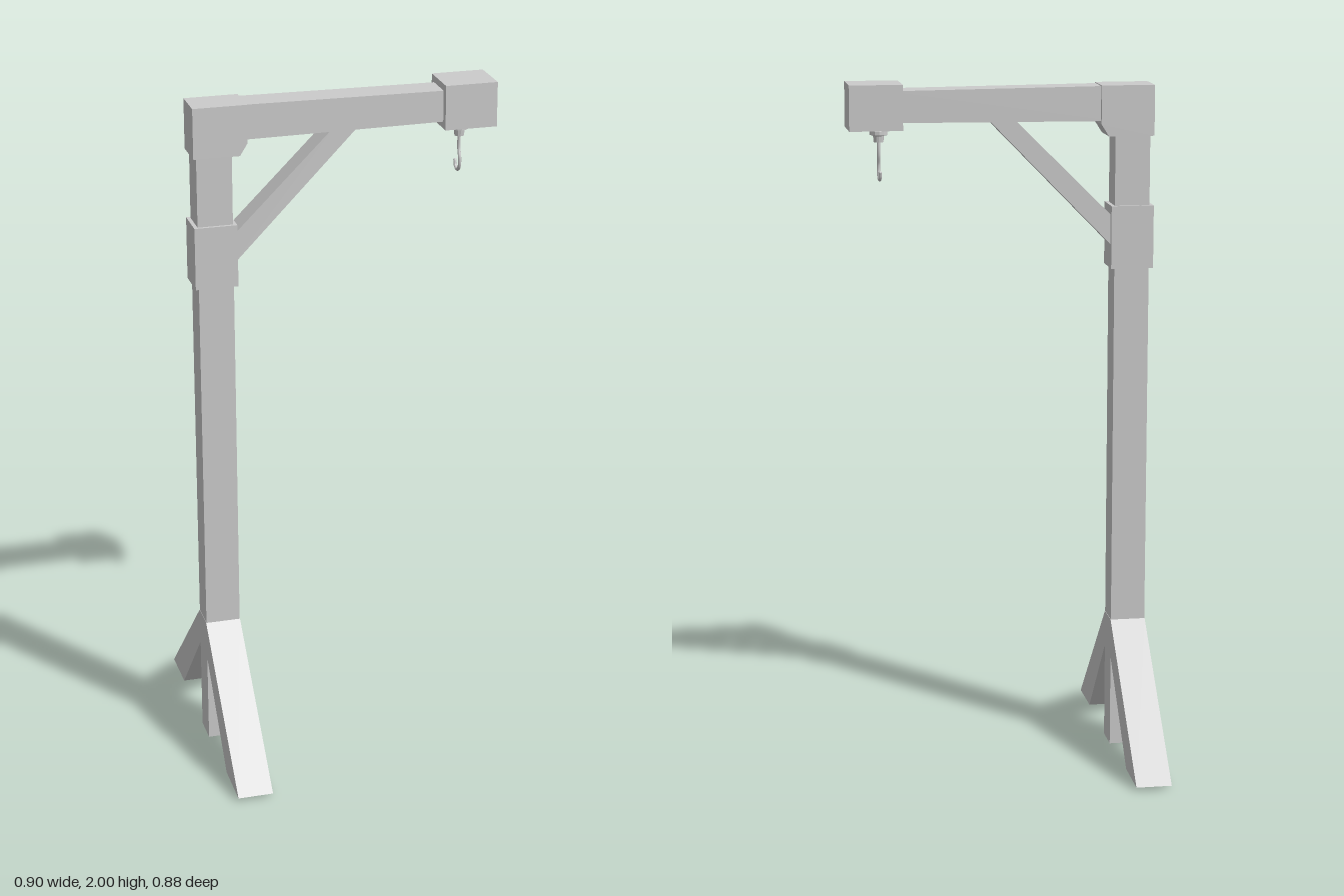
import * as THREE from 'three';

const mat = new THREE.MeshStandardMaterial({ color: 0xcccccc, flatShading: true });
const smooth = new THREE.MeshStandardMaterial({ color: 0xcccccc });

export function createModel() {
  const model = new THREE.Group();
  model.name = 'hoistPost';

  // Local frame: origin at the post's foot, arm along +x, slightly yawed
  const frame = new THREE.Group();
  frame.name = 'frame';
  frame.position.set(-0.371, 0, 0.008);
  frame.rotation.y = 0.068;
  model.add(frame);

  const add = (name, geometry, material = mat) => {
    const mesh = new THREE.Mesh(geometry, material);
    mesh.name = name;
    frame.add(mesh);
    return mesh;
  };
  const box = (name, x0, x1, y0, y1, depth) =>
    add(name, new THREE.BoxGeometry(x1 - x0, y1 - y0, depth))
      .position.set((x0 + x1) / 2, (y0 + y1) / 2, 0);
  // Side profile in x and y, extruded evenly about z = 0
  const slab = (name, points, depth) => {
    const shape = new THREE.Shape(points.map(([x, y]) => new THREE.Vector2(x, y)));
    const geometry = new THREE.ExtrudeGeometry(shape, { depth, bevelEnabled: false });
    return add(name, geometry.translate(0, 0, -depth / 2));
  };

  // Post and its collar
  box('post', -0.051, 0.051, 0, 1.86, 0.089);
  box('collar', -0.062, 0.062, 1.457, 1.64, 0.107);

  // Corner block with a chamfered lower inner edge
  slab('cornerBlock', [[-0.061, 1.842], [0.072, 1.842], [0.094, 1.877],
    [0.094, 1.988], [-0.061, 1.988]], 0.11);

  // Horizontal arm and end block
  slab('arm', [[0.05, 1.885], [0.7, 1.89], [0.7, 1.98], [0.05, 1.986]], 0.09);
  box('endBlock', 0.667, 0.82, 1.87, 2, 0.134);

  // Diagonal brace between collar and arm
  slab('brace', [[0.04, 1.505], [0.414, 1.889], [0.414, 1.9],
    [0.35, 1.9], [0.04, 1.592]], 0.075);

  // Splayed feet, front and back
  for (const [name, side, reach] of [['frontLeg', -1, 0.43], ['backLeg', 1, 0.448]]) {
    const leg = slab(name, [[0, 0.28], [0.045, 0.28], [reach - 0.15, 0.012],
      [reach, 0.01], [0.044, 0.392], [0, 0.392]], 0.104);
    leg.rotation.y = side * Math.PI / 2;
  }

  // Hook mount under the end block
  const hookX = 0.73;
  const mount = add('hookMount', new THREE.LatheGeometry(
    [[0, 1.832], [0.014, 1.832], [0.016, 1.85], [0.026, 1.853], [0.026, 1.864], [0.022, 1.872]]
      .map(([r, y]) => new THREE.Vector2(r, y)), 12));
  mount.position.x = hookX;

  // Hook bent in the plane across the arm
  const path = new THREE.CatmullRomCurve3(
    [[0, 1.84], [0, 1.795], [0.009, 1.765], [0.006, 1.74], [-0.012, 1.726],
      [-0.028, 1.732], [-0.034, 1.748]].map(([z, y]) => new THREE.Vector3(hookX, y, z)));
  add('hook', new THREE.TubeGeometry(path, 32, 0.005, 8), smooth);
  const tip = add('hookTip', new THREE.SphereGeometry(0.005, 8, 6), smooth);
  tip.position.set(hookX, 1.748, -0.034);

  return model;
}
